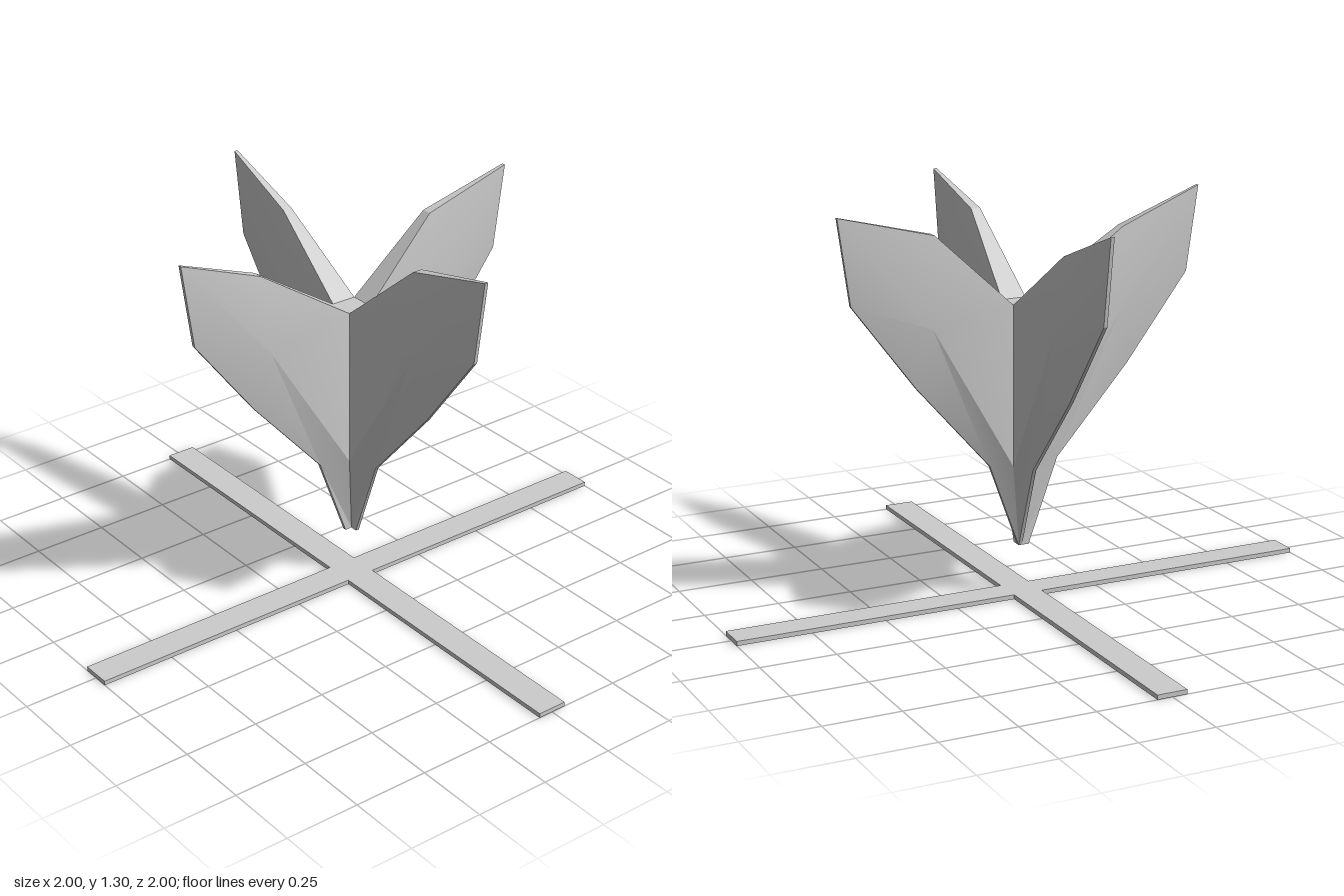
import * as THREE from 'three';
import { toCreasedNormals } from 'three/addons/utils/BufferGeometryUtils.js';

const OFFSET = -0.012; // the finned body sits slightly off the stand's centre in x and z
const CORE = 0.042; // half width of the core between the fins
const EDGE = 0.006; // half thickness of a fin's rim

// One fin: d is the outward direction [x, z]; crest is the bend in its top edge.
function finGeometry([dx, dz], crest) {
  const l = [-dz, dx];
  const along = OFFSET * (dx + dz);
  const across = OFFSET * (l[0] + l[1]);
  // points are [distance outward, height, half thickness]
  const foot = [along + EDGE, 0.17, EDGE];
  const footOuter = [0.018, 0.17, EDGE];
  const rootLow = [along + CORE, 0.45, CORE];
  const rootTop = [along + CORE, 0.98, CORE];
  const belly = [0.33, 0.93, CORE];
  const low = [0.12, 0.45, EDGE];
  const rim = [low, [0.372, 0.735, EDGE], [0.588, 1.02, EDGE], [0.628, 1.3, EDGE], [...crest, 0.016], rootTop];

  const pos = [];
  const put = ([a, y, t], s) => {
    const b = across + s * t;
    pos.push(dx * a + l[0] * b, y, dz * a + l[1] * b);
  };
  const tri = (a, sa, b, sb, c, sc) => { put(a, sa); put(b, sb); put(c, sc); };
  const bothSides = (a, b, c) => {
    tri(a, 1, b, 1, c, 1);
    tri(a, -1, c, -1, b, -1);
  };

  // swelling side faces
  const loop = [...rim, rootLow];
  loop.forEach((p, i) => bothSides(belly, p, loop[(i + 1) % loop.length]));
  bothSides(foot, footOuter, low);
  bothSides(foot, low, rootLow);

  // narrow rim and the fin's share of the top and bottom caps
  const strip = [[along, 0.17, 0], foot, footOuter, ...rim, [along, 0.98, 0]];
  for (let i = 0; i < strip.length - 1; i++) {
    const p = strip[i], q = strip[i + 1];
    if (q[2] > 0) tri(p, -1, q, -1, q, 1);
    if (p[2] > 0) tri(p, -1, q, 1, p, 1);
  }

  const g = new THREE.BufferGeometry();
  g.setAttribute('position', new THREE.Float32BufferAttribute(pos, 3));
  return toCreasedNormals(g, 0.4);
}

export function createModel() {
  const model = new THREE.Group();
  model.name = 'finnedDartOnCross';
  const grey = new THREE.MeshStandardMaterial({ color: 0xcccccc });
  const add = (name, geometry, parent) => {
    const mesh = new THREE.Mesh(geometry, grey);
    mesh.name = name;
    parent.add(mesh);
    return mesh;
  };

  // flat cross on the ground
  const w = 0.05;
  const cross = new THREE.Shape();
  for (let i = 0; i < 4; i++) {
    const c = Math.round(Math.cos(i * Math.PI / 2)), s = Math.round(Math.sin(i * Math.PI / 2));
    for (const [x, y] of [[1, -w], [1, w], [w, w]]) {
      const px = c * x - s * y, py = s * x + c * y;
      if (i === 0 && x === 1 && y < 0) cross.moveTo(px, py);
      else cross.lineTo(px, py);
    }
  }
  const base = new THREE.ExtrudeGeometry(cross, { depth: 0.015, bevelEnabled: false });
  base.rotateX(-Math.PI / 2);
  add('crossBase', base, model);

  // four fins meeting in a star-shaped body
  const body = new THREE.Group();
  body.name = 'finnedBody';
  model.add(body);
  const high = [0.31, 1.22], lowCrest = [0.347, 1.19];
  add('leftFin', finGeometry([1, 0], high), body);
  add('rightFin', finGeometry([-1, 0], lowCrest), body);
  add('frontFin', finGeometry([0, 1], lowCrest), body);
  add('backFin', finGeometry([0, -1], high), body);
  return model;
}
